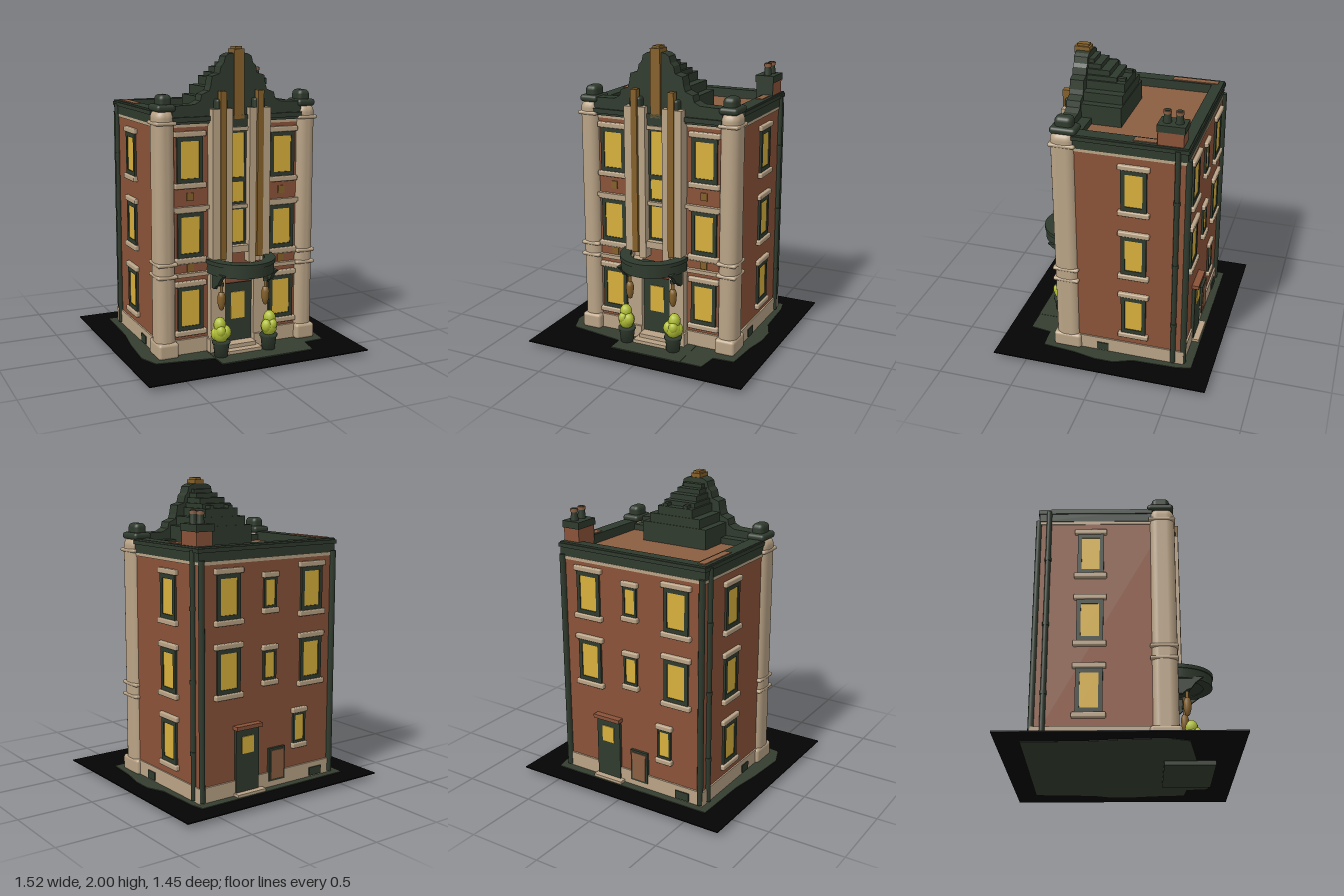
import * as THREE from 'three';
import { RoundedBoxGeometry } from 'three/addons/geometries/RoundedBoxGeometry.js';

const mat = (name, color) => {
  const m = new THREE.MeshStandardMaterial({ color });
  m.name = name;
  return m;
};

export function createModel() {
  const brick = mat('brick', 0x8a5238), roofing = mat('roofing', 0x8b5e42), stone = mat('pale stone', 0xb9a386);
  const green = mat('dark green trim', 0x2f3a2d), glass = mat('lit glass', 0xd8b03c), bronze = mat('bronze', 0x84602a);
  const leaf = mat('leaf', 0xafbd34), asphalt = mat('asphalt', 0x040404), moss = mat('paving', 0x343d2f);

  const root = new THREE.Group();
  root.name = 'building';
  const add = (name, geo, m, parent = root) => {
    const mesh = new THREE.Mesh(geo, m);
    mesh.name = name;
    parent.add(mesh);
    return mesh;
  };
  // Box given by its limits; a radius rounds the edges
  const box = (name, m, x0, x1, y0, y1, z0, z1, parent = root, r = 0) => {
    const s = [x1 - x0, y1 - y0, z1 - z0];
    const mesh = add(name, r ? new RoundedBoxGeometry(...s, 3, r) : new THREE.BoxGeometry(...s), m, parent);
    mesh.position.set((x0 + x1) / 2, (y0 + y1) / 2, (z0 + z1) / 2);
    return mesh;
  };
  // Same box on both sides of the building
  const pair = (name, m, x0, x1, ...rest) => {
    box(name + 'Left', m, x0, x1, ...rest);
    box(name + 'Right', m, -x1, -x0, ...rest);
  };
  const cyl = (name, m, r0, r1, y0, y1, x, z, seg = 16) => {
    const mesh = add(name, new THREE.CylinderGeometry(r1, r0, y1 - y0, seg), m);
    mesh.position.set(x, (y0 + y1) / 2, z);
    return mesh;
  };
  const shapeOf = pts => new THREE.Shape(pts.map(p => new THREE.Vector2(p[0], p[1])));
  const extrude = (shape, depth) => new THREE.ExtrudeGeometry(shape, { depth, bevelEnabled: false, curveSegments: 24 });

  // Window facing +z at its own origin: frame, pane, optional lintel and sill
  function windowUnit(name, w, h, border, trim = 0.02) {
    const g = new THREE.Group();
    g.name = name;
    const rect = (a, b) => [[-a, -b], [a, -b], [a, b], [-a, b]];
    const frame = shapeOf(rect(w / 2, h / 2));
    frame.holes.push(new THREE.Path(rect(w / 2 - border, h / 2 - border * 1.1).map(p => new THREE.Vector2(...p))));
    add('frame', extrude(frame, 0.014), green, g);
    box('pane', glass, -w / 2 + border / 2, w / 2 - border / 2, -h / 2 + border / 2, h / 2 - border / 2, 0, 0.008, g);
    if (trim) {
      const t = w / 2 + trim;
      box('lintel', stone, -t, t, h / 2, h / 2 + 0.035, -0.01, 0.024, g, 0.008);
      box('sill', stone, -t, t, -h / 2 - 0.035, -h / 2, -0.01, 0.028, g, 0.008);
    }
    root.add(g);
    return g;
  }
  const place = (g, x, y, z, turn = 0) => {
    g.position.set(x, y, z);
    g.rotation.y = turn;
  };

  // Ground sheet, irregular paving around the house, front path
  box('ground', asphalt, -0.765, 0.76, 0.03, 0.037, -0.725, 0.72);
  const paving = extrude(shapeOf([[-0.59, 0.58], [0.56, 0.59], [0.58, 0.5], [0.59, 0.2], [0.64, 0.08], [0.64, -0.05], [0.61, -0.2],
    [0.59, -0.42], [0.45, -0.43], [0.43, -0.57], [0.2, -0.57], [-0.12, -0.55], [-0.22, -0.46], [-0.6, -0.4], [-0.65, -0.27],
    [-0.63, 0], [-0.6, 0.2]]), 0.015);
  paving.rotateX(-Math.PI / 2);
  add('paving', paving, moss).position.y = 0.027;
  box('path', moss, -0.22, 0.28, 0, 0.044, 0.26, 0.575);

  // Main body and plinth
  box('walls', brick, -0.53, 0.53, 0.04, 1.54, -0.52, 0.3);
  box('plinth', stone, -0.54, 0.54, 0.04, 0.14, -0.532, 0.315);
  pair('plinthVent', green, 0.535, 0.547, 0.05, 0.105, -0.02, 0.06);
  box('backVent', green, -0.44, -0.34, 0.05, 0.105, -0.54, -0.53);
  box('stringCourse', stone, -0.535, 0.535, 1.51, 1.53, -0.525, 0.305);

  // Roof and parapet
  box('roof', roofing, -0.46, 0.46, 1.53, 1.56, -0.46, 0.25);
  pair('sideParapet', green, 0.45, 0.538, 1.53, 1.62, -0.522, 0.2);
  pair('sideParapetLip', green, 0.53, 0.545, 1.585, 1.61, -0.527, 0.2);
  box('backParapet', green, -0.538, 0.538, 1.53, 1.62, -0.522, -0.45);
  box('backParapetLip', green, -0.545, 0.545, 1.585, 1.61, -0.53, -0.515);
  box('frontGutter', green, -0.46, 0.46, 1.53, 1.6, 0.17, 0.28);
  box('copingRight', roofing, -0.515, -0.465, 1.618, 1.625, -0.49, -0.18);
  box('copingLeft', roofing, 0.465, 0.515, 1.618, 1.625, -0.32, -0.18);

  // Stepped front gable, mirrored from a half profile
  const half = [[0.45, 1.53], [0.45, 1.645], [0.3, 1.65], [0.26, 1.67], [0.25, 1.71], [0.2, 1.73], [0.19, 1.76],
    [0.18, 1.82], [0.13, 1.835], [0.12, 1.88], [0.1, 1.9], [0.09, 1.94], [0.065, 1.955], [0.04, 1.96]];
  const gable = shapeOf([...half, ...half.slice().reverse().map(([x, y]) => [-x, y])]);
  add('frontGable', extrude(gable, 0.09), green).position.z = 0.235;
  box('frontCornice', green, -0.45, 0.45, 1.545, 1.575, 0.3, 0.34);
  // Stepped mass behind the gable: half width, top, back edge
  [[0.24, 1.69, -0.025], [0.19, 1.75, -0.02], [0.13, 1.805, -0.015], [0.115, 1.835, 0.04], [0.1, 1.87, 0.09],
    [0.085, 1.9, 0.15], [0.07, 1.925, 0.2]].forEach(([w, top, back], i) =>
    box('gableStep' + (i + 1), green, -w, w, 1.54, top, back, 0.25));
  pair('gableRib', green, 0.06, 0.09, 1.6, 1.825, -0.01, 0.1);

  // Rounded corner piers with bands and caps
  pair('cornerPier', stone, 0.43, 0.556, 0.04, 1.625, 0.18, 0.345, root, 0.055);
  pair('pierBase', stone, 0.425, 0.562, 0.035, 0.14, 0.17, 0.36, root, 0.02);
  for (const y of [0.57, 0.65, 1.54]) pair('pierBand', stone, 0.425, 0.56, y - 0.012, y + 0.012, 0.177, 0.35, root, 0.011);
  pair('pierCap', green, 0.425, 0.55, 1.61, 1.655, 0.17, 0.34, root, 0.02);
  pair('pierFinial', green, 0.44, 0.525, 1.63, 1.715, 0.2, 0.315, root, 0.03);

  // Front windows and horizontal bands
  for (const s of [-1, 1]) {
    for (const y of [0.345, 0.825, 1.305]) place(windowUnit('frontWindow', 0.175, 0.29, 0.025), s * 0.325, y, 0.3);
  }
  pair('sillBand', stone, 0.2, 0.44, 0.64, 0.665, 0.29, 0.325);
  pair('lowerBand', stone, 0.2, 0.44, 0.555, 0.58, 0.29, 0.325);
  pair('upperBand', stone, 0.2, 0.44, 0.985, 1.01, 0.29, 0.325);
  for (const y of [0.61, 1.07]) pair('spandrelOrnament', bronze, 0.3, 0.345, y - 0.025, y + 0.025, 0.295, 0.308);

  // Central bay: pilasters, bronze fins, stacked windows
  pair('pilasterInner', stone, 0.06, 0.107, 0.62, 1.62, 0.29, 0.37);
  pair('pilasterOuter', stone, 0.15, 0.2, 0.62, 1.62, 0.29, 0.383);
  pair('pilasterWeb', stone, 0.1, 0.155, 0.62, 1.6, 0.29, 0.35);
  pair('doorPilaster', stone, 0.1, 0.205, 0.04, 0.6, 0.29, 0.355);
  pair('doorPilasterBase', stone, 0.1, 0.215, 0.04, 0.13, 0.29, 0.37);
  pair('fin', bronze, 0.108, 0.149, 0.66, 1.73, 0.34, 0.388);
  pair('finBracket', green, 0.09, 0.17, 1.61, 1.68, 0.3, 0.37, root, 0.015);
  box('centralFin', bronze, -0.034, 0.034, 1.55, 1.985, 0.24, 0.34);
  box('centralFinTip', bronze, -0.022, 0.022, 1.98, 2, 0.25, 0.325);
  box('centralHead', stone, -0.06, 0.06, 1.475, 1.5, 0.29, 0.345);
  box('centralPanel', green, -0.06, 0.06, 1.5, 1.56, 0.29, 0.335);
  for (const [y0, y1] of [[1.16, 1.475], [1.0, 1.16], [0.735, 0.98]])
    place(windowUnit('centralWindow', 0.12, y1 - y0, 0.014, 0), 0, (y0 + y1) / 2, 0.305);
  box('centralTransom', stone, -0.06, 0.06, 0.975, 1.0, 0.29, 0.34);
  box('centralSill', stone, -0.06, 0.06, 0.69, 0.735, 0.29, 0.36);

  // Entrance: door, head panel, steps
  box('door', green, -0.1, 0.1, 0.09, 0.485, 0.29, 0.325);
  box('doorGlass', glass, -0.049, 0.049, 0.24, 0.42, 0.324, 0.331);
  box('doorHead', brick, -0.1, 0.1, 0.485, 0.565, 0.29, 0.35, root, 0.015);
  box('upperStep', stone, -0.1, 0.1, 0.04, 0.09, 0.3, 0.4);
  box('lowerStep', stone, -0.12, 0.12, 0.04, 0.065, 0.3, 0.45);

  // Curved canopy: half-ring rim around a sunken deck
  const halfRing = (rx, rz, ix, iz) => {
    const s = new THREE.Shape();
    s.moveTo(rx, 0);
    s.absellipse(0, 0, rx, rz, 0, Math.PI, false);
    s.lineTo(-ix, 0);
    s.absellipse(0, 0, ix, iz, Math.PI, 0, true);
    return s;
  };
  const canopy = (name, shape, y0, y1) => {
    const geo = extrude(shape, y1 - y0);
    geo.rotateX(Math.PI / 2);
    add(name, geo, green).position.set(0, y1, 0.34);
  };
  canopy('canopyDeck', halfRing(0.2, 0.23, 0.01, 0.01), 0.58, 0.6);
  canopy('canopyRim', halfRing(0.222, 0.25, 0.165, 0.19), 0.575, 0.65);
  canopy('canopyLip', halfRing(0.23, 0.256, 0.16, 0.185), 0.64, 0.665);
  const bracket = extrude(shapeOf([[0.3, 0.48], [0.385, 0.475], [0.41, 0.5], [0.44, 0.51], [0.47, 0.55], [0.52, 0.59], [0.3, 0.59]]), 0.022);
  bracket.rotateY(-Math.PI / 2);
  for (const s of [-1, 1]) add('canopyBracket', bracket, green).position.x = s * 0.185 + 0.011;

  // Hanging lanterns and potted shrubs
  const lathe = (name, pts, m, x, z) =>
    add(name, new THREE.LatheGeometry(pts.map(p => new THREE.Vector2(...p)), 16), m).position.set(x, 0, z);
  for (const s of [-1, 1]) {
    lathe('lantern', [[0, 0.335], [0.014, 0.345], [0.024, 0.38], [0.026, 0.43], [0.018, 0.455], [0, 0.465]], bronze, s * 0.157, 0.415);
    cyl('lanternRod', bronze, 0.011, 0.011, 0.45, 0.59, s * 0.157, 0.415, 8);
    cyl('lanternCollar', green, 0.018, 0.018, 0.5, 0.52, s * 0.157, 0.415, 8);
    lathe('pot', [[0, 0.04], [0.042, 0.04], [0.052, 0.125], [0.058, 0.13], [0.058, 0.145], [0, 0.145]], green, s * 0.17, 0.44);
    // Shrub lobes: offset, height, offset, radius, stretch
    for (const [dx, y, dz, r, k] of [[0, 0.195, 0, 0.054, 1.15], [0.006, 0.25, -0.004, 0.041, 1.25],
      [-0.026, 0.205, 0.016, 0.036, 1.25], [0.026, 0.19, -0.014, 0.036, 1.25], [0.012, 0.215, 0.026, 0.032, 1.2]]) {
      const lobe = add('shrub', new THREE.SphereGeometry(r, 12, 8), leaf);
      lobe.scale.y = k;
      lobe.position.set(s * (0.172 + dx), y, 0.44 + dz);
    }
  }

  // Side windows and drainpipes
  for (const s of [-1, 1]) {
    for (const y of [0.365, 0.825, 1.29]) place(windowUnit('sideWindow', 0.165, 0.28, 0.026), s * 0.53, y, -0.19, s * Math.PI / 2);
    cyl('sidePipe', green, 0.017, 0.017, 0.05, 1.6, s * 0.538, -0.46, 10);
    cyl('cornerPipe', green, 0.02, 0.02, 0.05, 1.54, s * 0.52, -0.526, 10);
    for (const y of [0.35, 0.8, 1.25]) cyl('pipeCollar', green, 0.021, 0.021, y - 0.012, y + 0.012, s * 0.538, -0.46, 10);
  }

  // Back windows, door and service panel
  for (const y of [0.85, 1.31]) {
    for (const x of [-0.34, 0.32]) place(windowUnit('backWindow', 0.175, 0.28, 0.025), x, y, -0.52, Math.PI);
    place(windowUnit('backSmallWindow', 0.1, 0.19, 0.014, 0.012), 0, y, -0.52, Math.PI);
  }
  place(windowUnit('backLowWindow', 0.1, 0.2, 0.014, 0.012), -0.25, 0.4, -0.52, Math.PI);
  box('backDoor', green, 0.09, 0.27, 0.05, 0.47, -0.54, -0.51);
  box('backDoorGlass', glass, 0.135, 0.225, 0.31, 0.42, -0.546, -0.539);
  box('backDoorHood', brick, 0.08, 0.28, 0.47, 0.495, -0.565, -0.51);
  box('backStep', stone, 0.06, 0.28, 0.035, 0.06, -0.58, -0.52);
  box('servicePanelFrame', green, -0.125, 0.005, 0.08, 0.3, -0.538, -0.51);
  box('servicePanel', roofing, -0.11, -0.01, 0.095, 0.285, -0.543, -0.537);

  // Chimney
  box('chimney', brick, 0.412, 0.528, 1.56, 1.71, -0.49, -0.335);
  box('chimneyFront', green, 0.412, 0.528, 1.6, 1.71, -0.337, -0.329);
  box('chimneyCap', green, 0.405, 0.533, 1.705, 1.75, -0.497, -0.325);
  for (const z of [-0.45, -0.375]) {
    cyl('chimneyPot', green, 0.026, 0.019, 1.75, 1.82, 0.473, z);
    cyl('chimneyPotRim', roofing, 0.025, 0.025, 1.805, 1.825, 0.473, z);
    cyl('chimneyPotMouth', green, 0.018, 0.018, 1.82, 1.828, 0.473, z);
  }
  return root;
}
